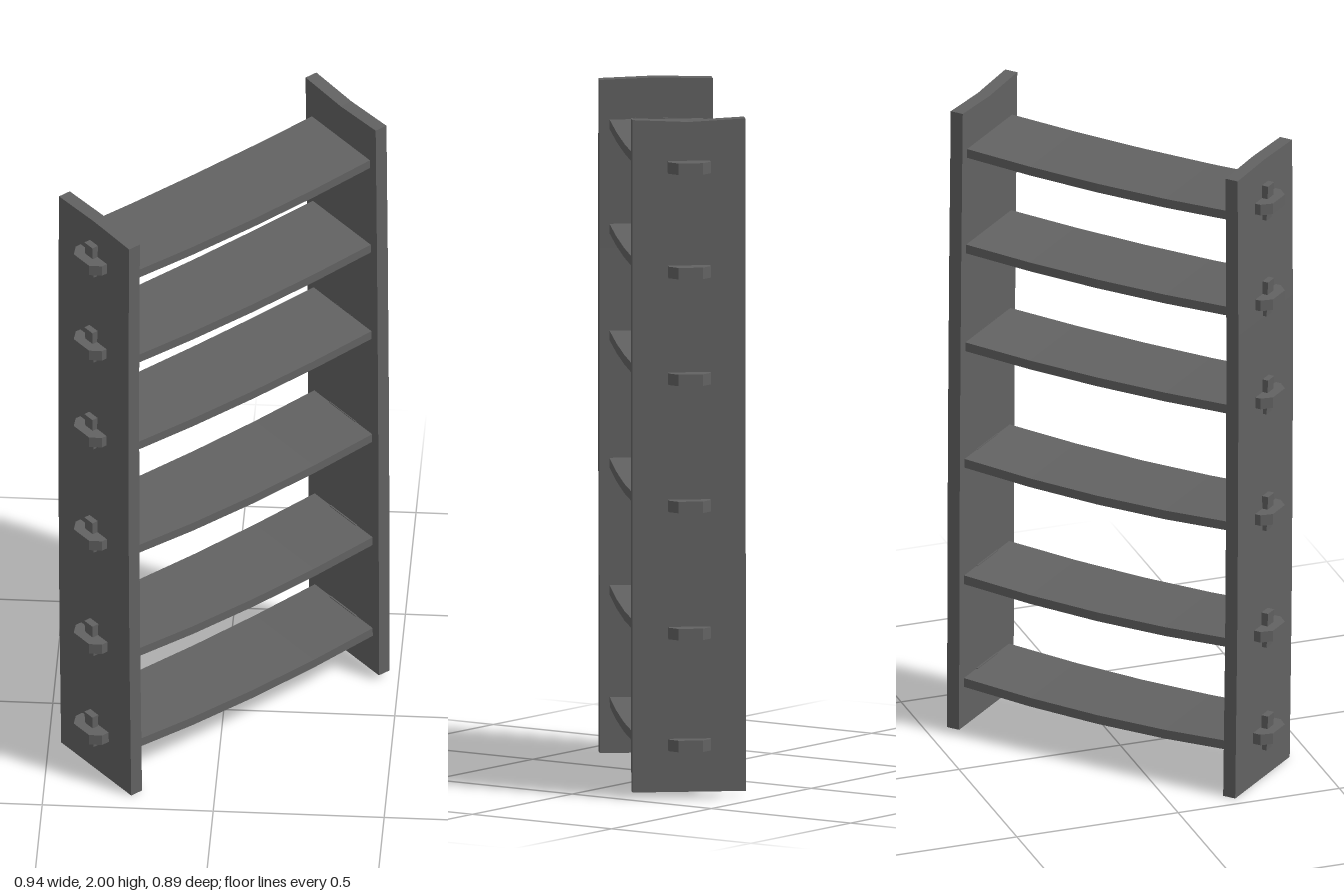
import * as THREE from 'three';

const wood = new THREE.MeshStandardMaterial({ color: 0x626262 });
wood.name = 'dark grey wood';

// Moves every vertex by a rule, then gives flat facets.
function warp(geometry, rule) {
  const p = geometry.attributes.position;
  const v = new THREE.Vector3();
  for (let i = 0; i < p.count; i++) {
    v.fromBufferAttribute(p, i);
    rule(v);
    p.setXYZ(i, v.x, v.y, v.z);
  }
  const flat = geometry.toNonIndexed();
  flat.computeVertexNormals();
  return flat;
}

function part(name, geometry) {
  const mesh = new THREE.Mesh(geometry, wood);
  mesh.name = name;
  return mesh;
}

// Upright board, slightly bowed and leaning, with uneven ends.
function upright(name, x, bottom, top, lean, bow, dip) {
  const h = top - bottom;
  const geometry = warp(new THREE.BoxGeometry(0.04, h, 0.332, 1, 4, 2), (v) => {
    const t = v.y / (h / 2);
    v.x += x + lean * t + bow * (1 - t * t);
    if (t > 0.99 && Math.abs(v.z) < 0.01) v.y += dip;
    v.y += (bottom + top) / 2;
  });
  return part(name, geometry);
}

// Sagging shelf plank.
function shelfPlank(y, sag) {
  return part('shelf', warp(new THREE.BoxGeometry(0.9, 0.028, 0.274, 4, 1, 1), (v) => {
    const t = v.x / 0.45;
    v.y += y + 0.004 * t - sag * (1 - t * t);
    v.z += 0.003 * (1 - t * t) * Math.sign(v.z);
  }));
}

// Chamfered tongue that passes through an upright.
function tenon(side, y) {
  const s = new THREE.Shape([
    [0.44, -0.062], [0.5, -0.062], [0.528, -0.036],
    [0.528, 0.036], [0.5, 0.062], [0.44, 0.062],
  ].map(([a, b]) => new THREE.Vector2(a, b)));
  const geometry = new THREE.ExtrudeGeometry(s, { depth: 0.034, bevelEnabled: false });
  geometry.translate(0, 0, -0.017);
  geometry.rotateX(Math.PI / 2);
  if (side < 0) geometry.rotateY(Math.PI);
  geometry.translate(0, y, 0);
  return part('tenon', geometry);
}

// Tapered wedge that locks a tenon.
function wedge(y) {
  return part('wedge', warp(new THREE.BoxGeometry(0.022, 0.112, 0.038), (v) => {
    if (v.y < 0) {
      v.x = v.x < 0 ? -0.004 : v.x;
      v.z *= 0.8;
    }
    v.x -= 0.491;
    v.y += y + 0.002;
  }));
}

export function createModel() {
  const model = new THREE.Group();
  model.name = 'shelving rack';

  const rack = new THREE.Group();
  rack.name = 'rack';
  rack.rotation.y = THREE.MathUtils.degToRad(41.6);
  model.add(rack);

  rack.add(
    upright('rightUpright', -0.457, 0.0, 1.985, -0.004, -0.006, 0.005),
    upright('leftUpright', 0.459, 0.018, 2.0, -0.006, 0.003, -0.008),
  );

  // Shelves with their joints
  const heights = [0.155, 0.485, 0.86, 1.235, 1.55, 1.858];
  heights.forEach((y, i) => {
    const level = new THREE.Group();
    level.name = 'shelfLevel' + (i + 1);
    level.add(
      shelfPlank(y, i < 3 ? 0.016 : 0.011),
      tenon(-1, y - 0.003),
      tenon(1, y + 0.003),
      wedge(y - 0.003),
    );
    rack.add(level);
  });

  return model;
}
